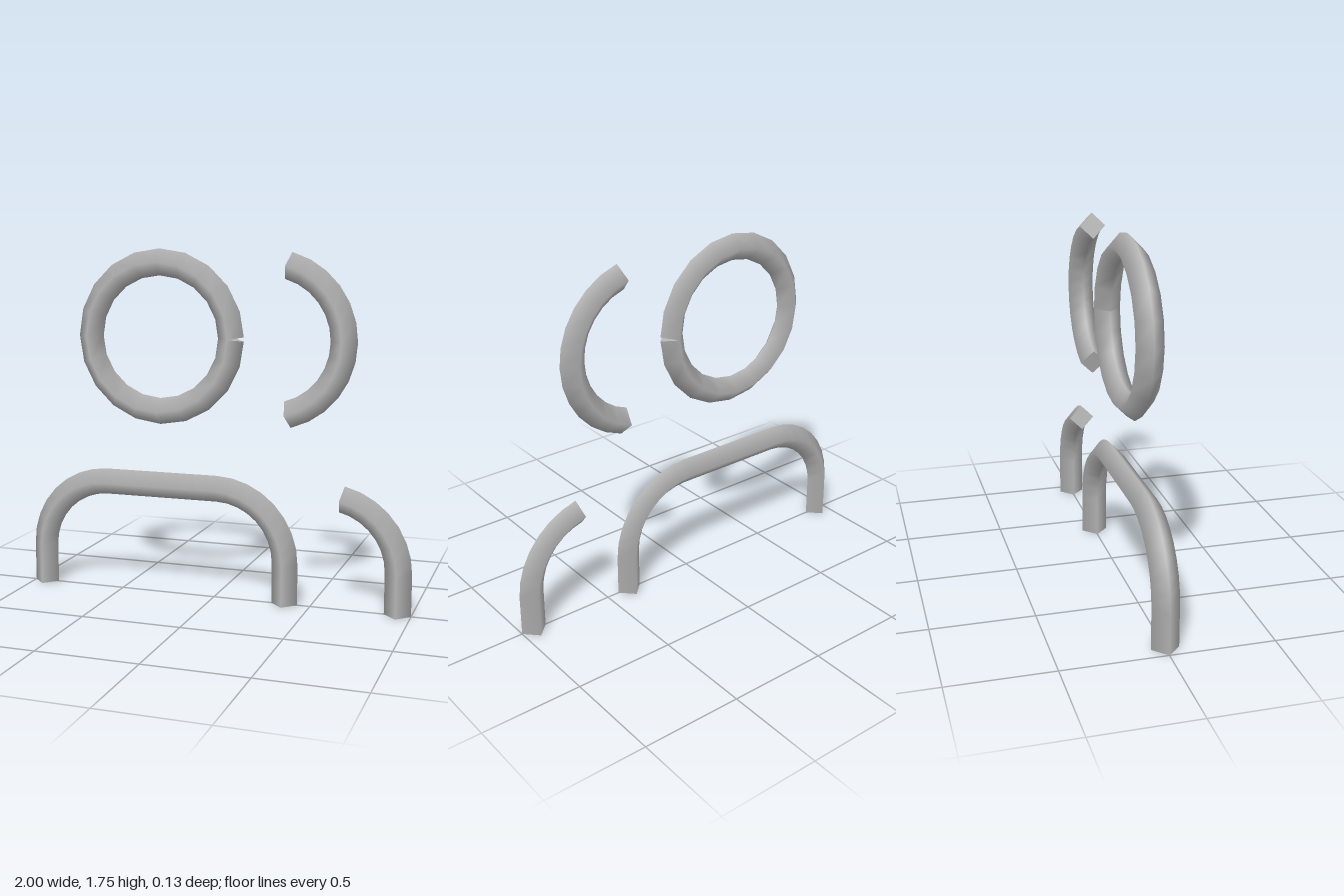
import * as THREE from 'three';

const TUBE = 0.066; // half width of the diamond cross-section
const R = 0.357;    // bend radius of the handles

// Stations along an arc: centre, radius, angles in degrees, counter-clockwise
function arc(cx, cy, r, from, to, n) {
  const out = [];
  for (let i = 0; i <= n; i++) {
    const a = THREE.MathUtils.degToRad(from + (to - from) * i / n);
    out.push({ x: cx + r * Math.cos(a), y: cy + r * Math.sin(a), a });
  }
  return out;
}

// Four-sided bar with smooth normals and flat ends; a = angle of the outward side
function bar(stations) {
  const pos = [], nor = [], idx = [];
  const corner = (s, k) => {
    const c = Math.cos(k * Math.PI / 2), z = Math.sin(k * Math.PI / 2);
    return [c * Math.cos(s.a), c * Math.sin(s.a), z];
  };
  const add = (s, k, normal) => {
    const d = corner(s, k);
    pos.push(s.x + TUBE * d[0], s.y + TUBE * d[1], TUBE * d[2]);
    nor.push(...(normal || d));
  };
  stations.forEach((s, i) => {
    for (let k = 0; k < 4; k++) {
      add(s, k);
      if (i === 0) continue;
      const a = (i - 1) * 4 + k, b = (i - 1) * 4 + (k + 1) % 4;
      idx.push(a, a + 4, b, b, a + 4, b + 4);
    }
  });
  // End caps
  [[stations[0], -1], [stations[stations.length - 1], 1]].forEach(([s, dir]) => {
    const o = pos.length / 3;
    const n = [-Math.sin(s.a) * dir, Math.cos(s.a) * dir, 0];
    for (let k = 0; k < 4; k++) add(s, k, n);
    if (dir < 0) idx.push(o, o + 1, o + 2, o, o + 2, o + 3);
    else idx.push(o, o + 2, o + 1, o, o + 3, o + 2);
  });
  const g = new THREE.BufferGeometry();
  g.setAttribute('position', new THREE.Float32BufferAttribute(pos, 3));
  g.setAttribute('normal', new THREE.Float32BufferAttribute(nor, 3));
  g.setIndex(idx);
  return g;
}

export function createModel() {
  const group = new THREE.Group();
  const metal = new THREE.MeshStandardMaterial({ color: 0xb4b4b4 });
  metal.name = 'plain grey';
  const part = (name, stations) => {
    const mesh = new THREE.Mesh(bar(stations), metal);
    mesh.name = name;
    group.add(mesh);
  };

  // Ring, with its two ends tilted to leave a small notch on the outside
  const ring = arc(-0.283, 1.311, 0.371, 0, 360, 20);
  const tilt = Math.PI / 20;
  ring[0].a += tilt;
  ring[20].a -= tilt;
  part('ring', ring);

  // Open arc beside the ring
  part('openArc', arc(0.279, 1.311, 0.371, -75, 75, 12));

  // Wide handle: leg, bend, straight top, bend, leg
  const foot = (x, a) => ({ x, y: 0, a });
  part('wideHandle', [
    foot(0.369, 0),
    ...arc(0.012, 0.204, R, 0, 90, 8),
    ...arc(-0.577, 0.204, R, 90, 180, 8),
    foot(-0.934, Math.PI),
  ]);

  // Short hook: leg with a single bend
  part('hook', [foot(0.934, 0), ...arc(0.577, 0.204, R, 0, 78, 7)]);

  return group;
}
